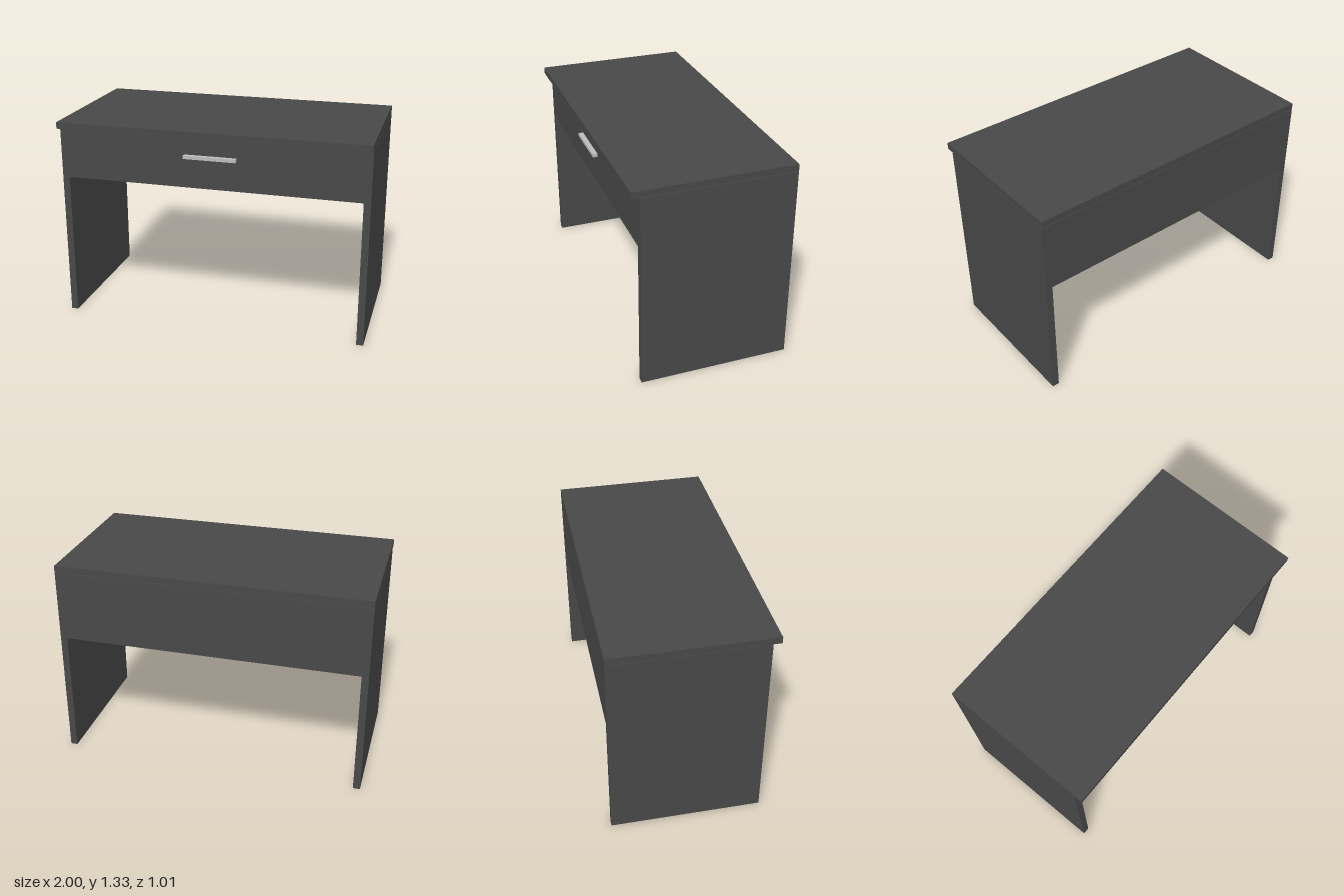
import * as THREE from 'three';

export function createModel() {
  const desk = new THREE.Group();
  desk.name = 'desk';

  const charcoal = new THREE.MeshStandardMaterial({ color: 0x484848 });
  charcoal.name = 'charcoal board';
  const metal = new THREE.MeshStandardMaterial({ color: 0xbcbcbc });
  metal.name = 'light metal';

  // Adds a box spanning the given [min, max] ranges.
  function addBox(name, [x0, x1], [y0, y1], [z0, z1], material = charcoal) {
    const mesh = new THREE.Mesh(new THREE.BoxGeometry(x1 - x0, y1 - y0, z1 - z0), material);
    mesh.position.set((x0 + x1) / 2, (y0 + y1) / 2, (z0 + z1) / 2);
    mesh.name = name;
    desk.add(mesh);
  }

  const back = -0.505, front = 0.455, board = 0.045;
  const inner = 1 - board, carcassTop = 1.281;

  // Top, overhanging the carcass at the front
  addBox('tabletop', [-1, 1], [1.285, 1.327], [back, 0.507]);

  // Full-depth side panels serving as legs
  addBox('leftSidePanel', [inner, 1], [0, carcassTop], [back, front]);
  addBox('rightSidePanel', [-1, -inner], [0, carcassTop], [back, front]);

  // Back panel, hanging lower than the drawer
  addBox('backPanel', [-inner, inner], [0.825, carcassTop], [back, back + board]);

  // Drawer: front board, and an open box of thin boards behind it
  const boxBack = back + board, boxFront = front - board, thin = 0.02;
  const floor = 0.975, boxTop = 1.24;
  addBox('drawerFront', [-inner, inner], [0.952, carcassTop], [boxFront, front]);
  addBox('drawerBottom', [-inner, inner], [floor, floor + thin], [boxBack, boxFront]);
  addBox('drawerBack', [-inner + thin, inner - thin], [floor + thin, boxTop], [boxBack, boxBack + thin]);
  addBox('drawerLeftSide', [inner - thin, inner], [floor + thin, boxTop], [boxBack, boxFront]);
  addBox('drawerRightSide', [-inner, -inner + thin], [floor + thin, boxTop], [boxBack, boxFront]);

  // Bar handle
  addBox('drawerHandle', [-0.168, 0.168], [1.146, 1.167], [front, 0.485], metal);

  return desk;
}
